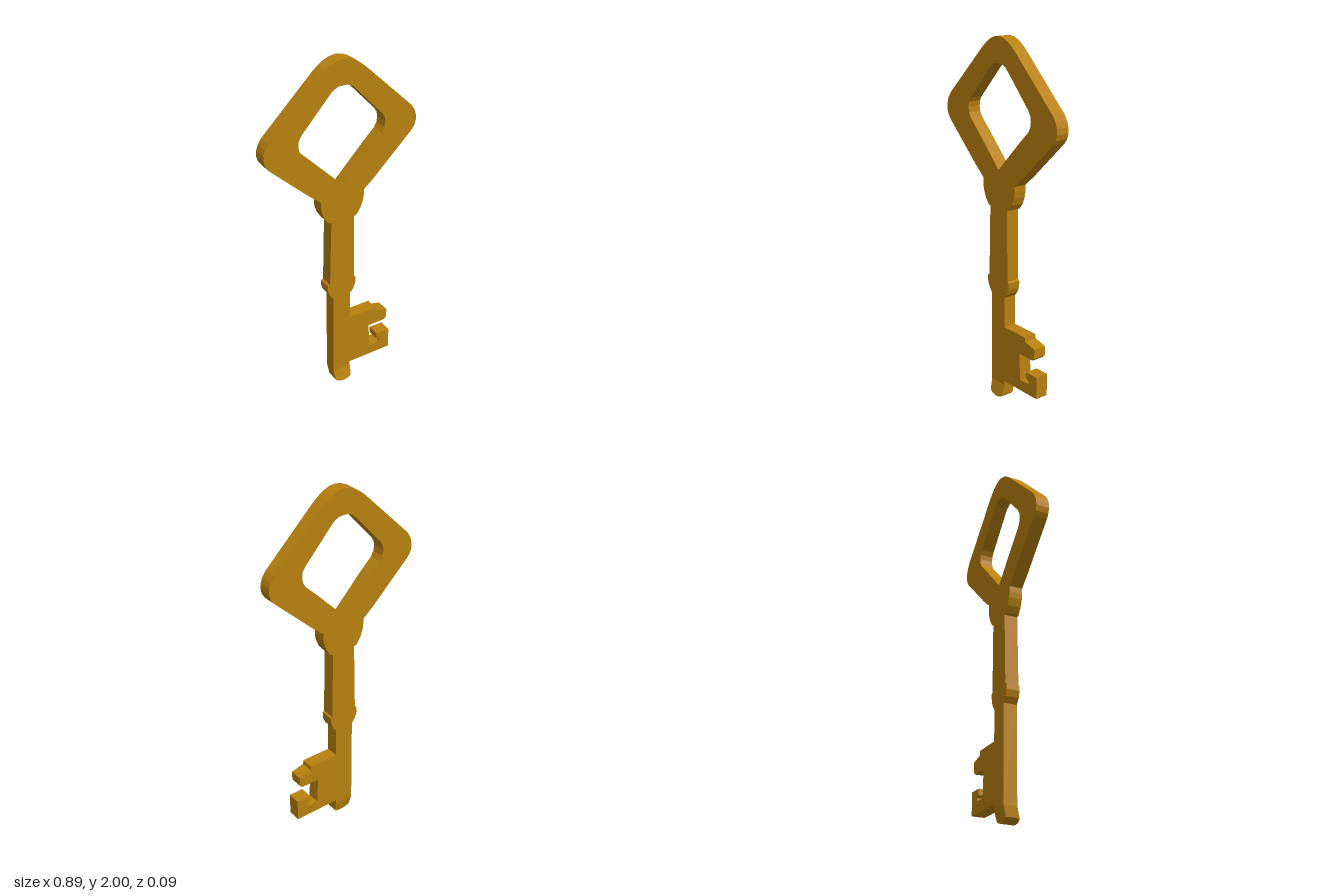
import * as THREE from 'three';

const BACK = -0.0475, THICK = 0.075, BEND_Y = 0.08, BEND_SHIFT = 0.02;

const toVectors = (pts) => pts.map(([x, y]) => new THREE.Vector2(x, y));
const mirrored = (pts) => pts.map(([x, y]) => [-x, y]).reverse();

// Flat plate of the key's thickness cut from an outline
function plate(outline, hole) {
  const shape = new THREE.Shape(toVectors(outline));
  if (hole) shape.holes.push(new THREE.Path(toVectors(hole)));
  const geo = new THREE.ExtrudeGeometry(shape, { depth: THICK, bevelEnabled: false });
  return geo.translate(0, 0, BACK);
}

export function createModel() {
  const group = new THREE.Group();
  group.name = 'key';
  const brass = new THREE.MeshStandardMaterial({ color: 0xb8800f, flatShading: true });
  const add = (name, geo) => {
    const mesh = new THREE.Mesh(geo, brass);
    mesh.name = name;
    group.add(mesh);
  };

  // Right half of the bow, from the collar up to the top
  const bow = [
    [0.07, 1.1], [0.085, 1.105], [0.11, 1.14], [0.125, 1.18], [0.13, 1.21], [0.13, 1.245],
    [0.2, 1.305], [0.42, 1.515], [0.438, 1.54], [0.447, 1.57], [0.445, 1.6], [0.435, 1.63], [0.415, 1.66],
    [0.13, 1.935], [0.1, 1.96], [0.07, 1.98], [0.035, 1.995],
  ];
  // Right half of the bow opening
  const opening = [
    [0.17, 1.485], [0.235, 1.548], [0.25, 1.575], [0.254, 1.605], [0.25, 1.632], [0.235, 1.657],
    [0.08, 1.825], [0.055, 1.85], [0.025, 1.863],
  ];
  // Bit with its upper and hooked lower tooth, from bottom to top
  const bit = [
    [0.05, 0.105], [0.32, 0.105], [0.32, 0.232], [0.235, 0.232], [0.235, 0.197], [0.255, 0.187],
    [0.255, 0.17], [0.185, 0.165], [0.178, 0.32], [0.285, 0.32], [0.3, 0.335], [0.3, 0.388],
    [0.225, 0.408], [0.222, 0.432], [0.05, 0.432],
  ];
  const ringRight = [[0.05, 0.605], [0.07, 0.628], [0.082, 0.66], [0.086, 0.698], [0.075, 0.705]];
  const ringLeft = [[-0.08, 0.705], [-0.092, 0.7], [-0.094, 0.67], [-0.082, 0.635], [-0.06, 0.605]];

  add('keyBody', plate(
    [[0.05, BEND_Y], ...bit, ...ringRight, ...bow, [0, 2], ...mirrored(bow), ...ringLeft, [-0.06, BEND_Y]],
    [[0, 1.31], ...opening, ...mirrored(opening)],
  ));

  // Tip of the shank, leaning forward below the bend
  const tip = plate([
    [0.05, BEND_Y], [-0.06, BEND_Y], [-0.054, 0.02], [-0.045, 0.01], [-0.02, 0.002], [0, 0],
    [0.02, 0.002], [0.042, 0.01], [0.049, 0.02],
  ]);
  const pos = tip.attributes.position;
  for (let i = 0; i < pos.count; i++) {
    pos.setZ(i, pos.getZ(i) + BEND_SHIFT * (1 - pos.getY(i) / BEND_Y));
  }
  tip.computeVertexNormals();
  add('shankTip', tip);

  return group;
}
